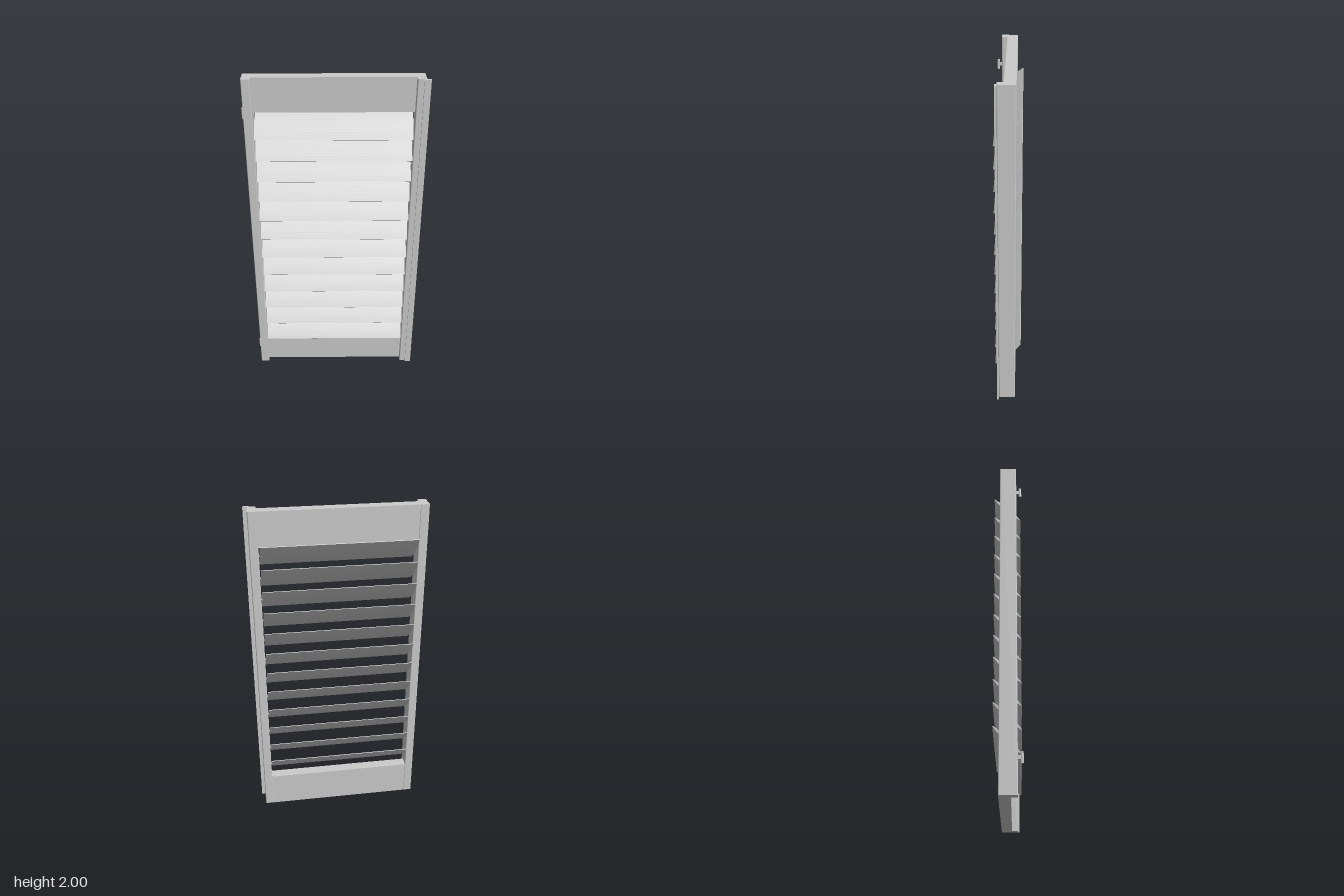
import * as THREE from 'three';

const grey = new THREE.MeshStandardMaterial({ color: 0xcccccc });

// Box given by its minimum and maximum corners
function box(name, [x0, y0, z0], [x1, y1, z1]) {
  const mesh = new THREE.Mesh(new THREE.BoxGeometry(x1 - x0, y1 - y0, z1 - z0), grey);
  mesh.name = name;
  mesh.position.set((x0 + x1) / 2, (y0 + y1) / 2, (z0 + z1) / 2);
  return mesh;
}

// Upright post with softly rounded long edges
function stile(name, x0, x1) {
  const z0 = -0.047, z1 = 0.051, r = 0.005;
  const s = new THREE.Shape();
  s.absarc(x1 - r, -z0 - r, r, 0, Math.PI / 2);
  s.absarc(x0 + r, -z0 - r, r, Math.PI / 2, Math.PI);
  s.absarc(x0 + r, -z1 + r, r, Math.PI, Math.PI * 1.5);
  s.absarc(x1 - r, -z1 + r, r, Math.PI * 1.5, Math.PI * 2);
  const geo = new THREE.ExtrudeGeometry(s, { depth: 2, bevelEnabled: false, curveSegments: 4 });
  geo.rotateX(-Math.PI / 2);
  const mesh = new THREE.Mesh(geo, grey);
  mesh.name = name;
  return mesh;
}

// Lens-shaped slat running along x, tilted down towards the front
function slatGeometry(x0, x1) {
  const half = 0.108, thick = 0.011, tip = 0.0015, n = 14;
  const pts = [];
  for (const side of [1, -1]) {
    for (let i = 0; i <= n; i++) {
      const t = side * (1 - (2 * i) / n);
      pts.push(new THREE.Vector2(t * half, side * (tip + (thick - tip) * (1 - t * t))));
    }
  }
  const geo = new THREE.ExtrudeGeometry(new THREE.Shape(pts), { depth: x1 - x0, bevelEnabled: false });
  geo.rotateZ(Math.PI / 4);
  geo.rotateY(Math.PI / 2); // section x becomes -z, extrusion becomes +x
  geo.translate(x0, 0, -0.003);
  return geo;
}

export function createModel() {
  const model = new THREE.Group();
  model.name = 'louveredShutter';

  // Frame
  model.add(
    stile('rightStile', -0.509, -0.458),
    stile('leftStile', 0.436, 0.486),
    box('topRail', [-0.458, 1.8, -0.047], [0.436, 2, 0.016]),
    box('bottomRail', [-0.458, 0, -0.047], [0.436, 0.22, 0.016]),
    box('closingStrip', [0.472, 0, 0.051], [0.508, 2, 0.062])
  );

  // Louvers with their pivot pins
  const slatGeo = slatGeometry(-0.454, 0.431);
  const pinGeo = new THREE.CylinderGeometry(0.005, 0.005, 0.898, 12).rotateZ(Math.PI / 2);
  for (let i = 0; i < 12; i++) {
    const louver = new THREE.Group();
    louver.name = 'louver';
    const slat = new THREE.Mesh(slatGeo, grey);
    slat.name = 'slat';
    const pin = new THREE.Mesh(pinGeo, grey);
    pin.name = 'pivotPin';
    pin.position.set(-0.011, 0, -0.003);
    louver.add(slat, pin);
    louver.position.y = 0.296 + i * 0.1308;
    model.add(louver);
  }

  // Hinges: a small leaf carrying an upright barrel
  for (const y of [0.19, 1.82]) {
    const hinge = new THREE.Group();
    hinge.name = 'hinge';
    const barrel = new THREE.Mesh(new THREE.CylinderGeometry(0.004, 0.004, 0.06, 12), grey);
    barrel.name = 'hingeBarrel';
    barrel.scale.z = 1.9;
    barrel.position.set(-0.507, 0, 0.073);
    hinge.add(barrel, box('hingeLeaf', [-0.509, -0.011, 0.045], [-0.505, 0.011, 0.07]));
    hinge.position.y = y;
    model.add(hinge);
  }
  return model;
}
